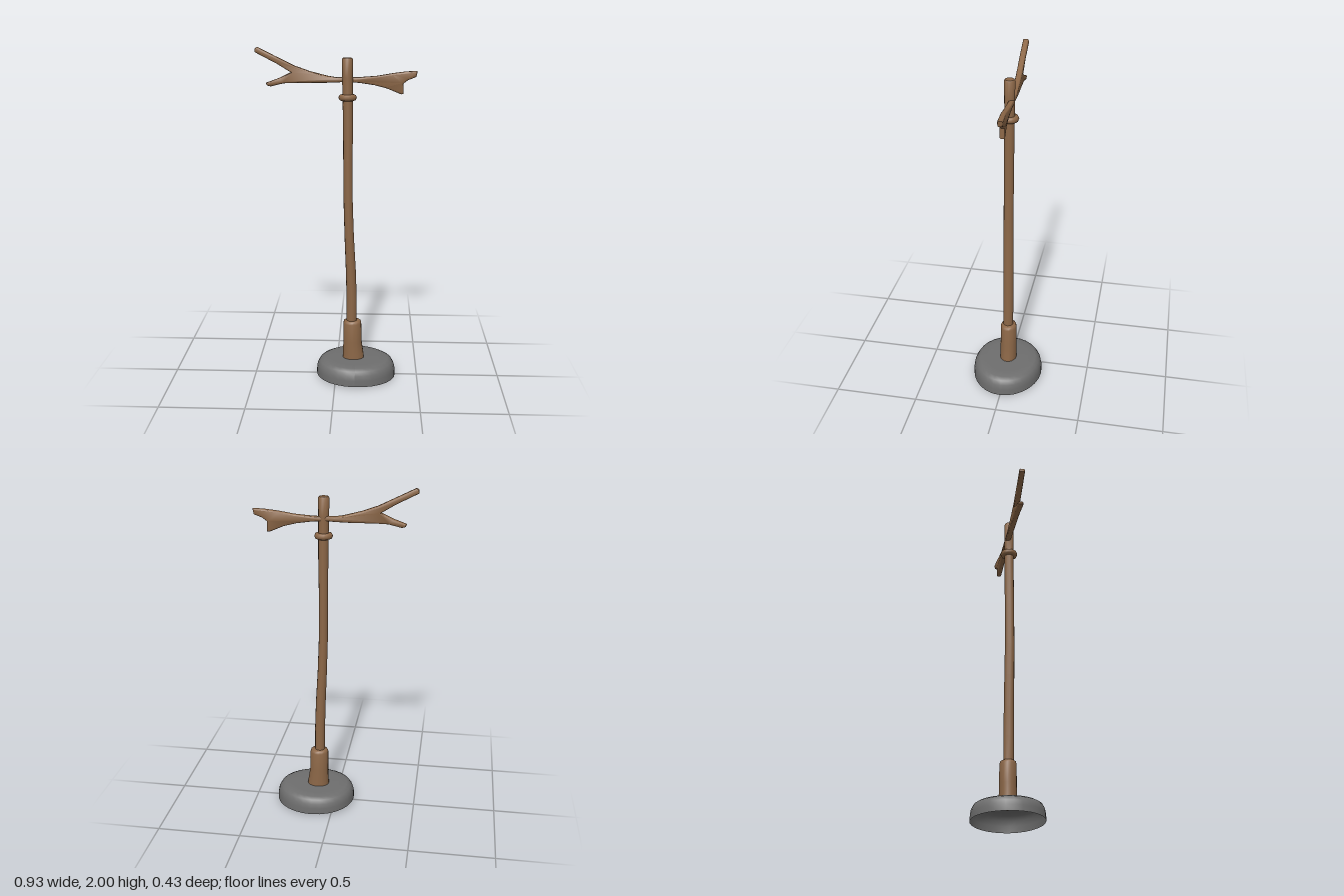
import * as THREE from 'three';
import { toCreasedNormals } from 'three/addons/utils/BufferGeometryUtils.js';

// Closed tube lofted through rings [x, y, z, radiusX, radiusZ], listed bottom to top
function loft(rings, sides) {
  const pos = [], idx = [];
  rings.forEach(([x, y, z, rx, rz]) => {
    for (let i = 0; i < sides; i++) {
      const a = (i / sides) * Math.PI * 2;
      pos.push(x + Math.sin(a) * rx, y, z + Math.cos(a) * rz);
    }
  });
  for (let r = 0; r < rings.length - 1; r++) {
    for (let i = 0; i < sides; i++) {
      const a = r * sides + i, b = r * sides + ((i + 1) % sides);
      idx.push(a, b, b + sides, a, b + sides, a + sides);
    }
  }
  const top = (rings.length - 1) * sides;
  for (let i = 1; i < sides - 1; i++) {
    idx.push(0, i + 1, i, top, top + i, top + i + 1);
  }
  const g = new THREE.BufferGeometry();
  g.setAttribute('position', new THREE.Float32BufferAttribute(pos, 3));
  g.setIndex(idx);
  return toCreasedNormals(g, 0.9);
}

// Forked branch: rounded slab cut to an outline, with its depth centred on zAt(x)
function branch(outline, thickness, zAt) {
  const shape = new THREE.Shape(outline.map(([x, y]) => new THREE.Vector2(x, y)));
  const bevel = 0.009;
  const g = new THREE.ExtrudeGeometry(shape, {
    depth: thickness - 2 * bevel, bevelEnabled: true, bevelThickness: bevel,
    bevelSize: bevel, bevelOffset: -bevel, bevelSegments: 3,
  });
  const p = g.attributes.position;
  for (let i = 0; i < p.count; i++) {
    p.setZ(i, p.getZ(i) - thickness / 2 + bevel + zAt(p.getX(i)));
  }
  g.deleteAttribute('normal');
  return toCreasedNormals(g, 0.8);
}

export function createModel() {
  const model = new THREE.Group();
  model.name = 'signpost';
  const wood = new THREE.MeshStandardMaterial({ name: 'brown wood', color: 0x8c6747 });
  const stone = new THREE.MeshStandardMaterial({ name: 'grey stone', color: 0x6e6e6e, side: THREE.DoubleSide });

  const add = (name, geometry, material = wood) => {
    const mesh = new THREE.Mesh(geometry, material);
    mesh.name = name;
    model.add(mesh);
    return mesh;
  };

  // Hollow stone foot, open underneath and slightly uneven
  const profile = [[1, 0], [0.995, 0.04], [0.97, 0.07], [0.91, 0.095], [0.81, 0.108], [0.6, 0.111], [0, 0.111]]
    .map(([r, y]) => new THREE.Vector2(r, y));
  const foot = new THREE.LatheGeometry(profile, 28);
  const fp = foot.attributes.position;
  for (let i = 0; i < fp.count; i++) {
    const x = fp.getX(i), y = fp.getY(i), z = fp.getZ(i);
    const wobble = 1 + 0.012 * Math.sin(3 * Math.atan2(z, x) + 1);
    fp.setXYZ(i, 0.121 + x * 0.242 * wobble, y + 0.006 * (1 - x) * (1 - y / 0.111), z * 0.214 * wobble - 0.002);
  }
  foot.computeVertexNormals();
  add('stoneFoot', foot, stone);

  // Thick sleeve at the bottom of the post
  add('postSleeve', loft([
    [0.108, 0.085, -0.005, 0.069, 0.053],
    [0.106, 0.14, -0.005, 0.064, 0.052],
    [0.101, 0.22, -0.005, 0.057, 0.051],
    [0.1, 0.335, -0.005, 0.056, 0.05],
    [0.1, 0.349, -0.005, 0.052, 0.046],
    [0.1, 0.355, -0.005, 0.043, 0.037],
  ], 14));

  // Slightly crooked post
  add('post', loft([
    [0.096, 0.3, -0.002, 0.031, 0.031],
    [0.095, 0.5, -0.002, 0.031, 0.031],
    [0.089, 0.68, -0.002, 0.03, 0.03],
    [0.079, 0.88, -0.001, 0.028, 0.03],
    [0.072, 1.08, 0, 0.027, 0.029],
    [0.069, 1.35, -0.002, 0.027, 0.029],
    [0.069, 1.55, -0.004, 0.029, 0.029],
    [0.067, 1.72, -0.006, 0.03, 0.029],
    [0.065, 1.83, -0.006, 0.031, 0.03],
    [0.064, 1.932, -0.006, 0.032, 0.031],
    [0.064, 1.94, -0.006, 0.027, 0.026],
  ], 12));

  // Collar below the branches
  const collar = add('collar', new THREE.TorusGeometry(0.034, 0.019, 8, 18));
  collar.rotation.x = Math.PI / 2;
  collar.position.set(0.066, 1.716, -0.006);

  // Forked branch on the model's right, with a long raised prong
  add('rightBranch', branch([
    [0.06, 1.832], [0.06, 1.805], [0, 1.801], [-0.1, 1.798], [-0.22, 1.799], [-0.3, 1.796],
    [-0.375, 1.778], [-0.396, 1.784], [-0.402, 1.798], [-0.33, 1.824], [-0.258, 1.858],
    [-0.34, 1.908], [-0.464, 1.972], [-0.462, 1.99], [-0.45, 2], [-0.35, 1.95],
    [-0.24, 1.896], [-0.15, 1.864], [-0.05, 1.838], [0, 1.83],
  ], 0.034, (x) => -0.01 + 0.006 * Math.sin((0.06 - x) * 6 - 1.4)));

  // Forked branch on the model's left, with a short drooping prong
  add('leftBranch', branch([
    [0.07, 1.804], [0.14, 1.798], [0.22, 1.786], [0.29, 1.768], [0.372, 1.734], [0.386, 1.736],
    [0.384, 1.794], [0.41, 1.814], [0.458, 1.833], [0.464, 1.866], [0.4, 1.863],
    [0.32, 1.853], [0.23, 1.838], [0.15, 1.832], [0.07, 1.829],
  ], 0.03, (x) => -0.019 - 0.013 * THREE.MathUtils.smoothstep(x, 0.25, 0.47)));

  return model;
}
